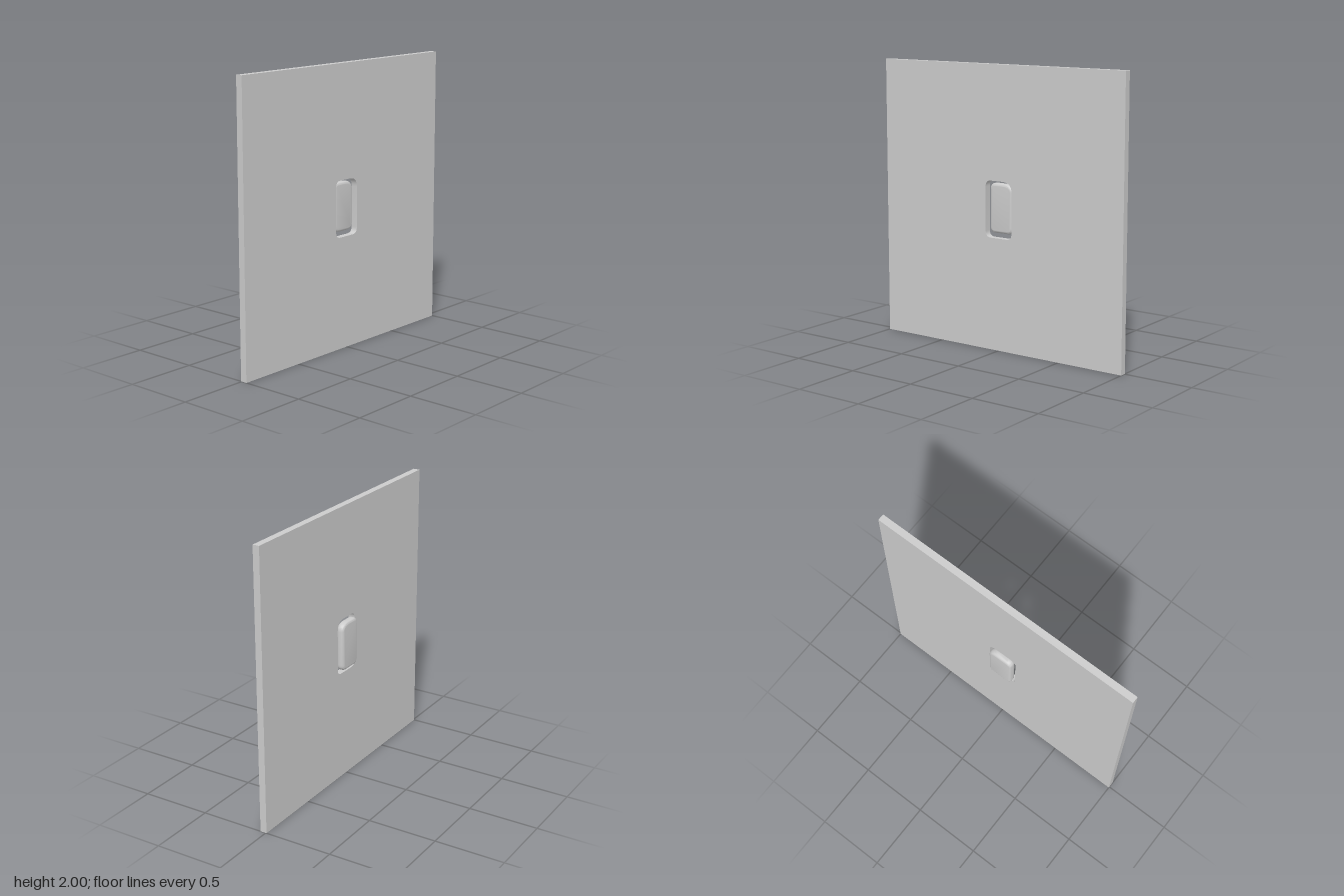
import * as THREE from 'three';
import { toCreasedNormals } from 'three/addons/utils/BufferGeometryUtils.js';

// Upright rounded rectangle whose upper corner on the +x side is softer
function outline(Type, x, y0, y1, r, rx, ry) {
  const p = new Type();
  p.moveTo(-x + r, y0);
  p.lineTo(x - r, y0);
  p.quadraticCurveTo(x, y0, x, y0 + r);
  p.lineTo(x, y1 - ry);
  p.quadraticCurveTo(x, y1, x - rx, y1);
  p.lineTo(-x + r, y1);
  p.quadraticCurveTo(-x, y1, -x, y1 - r);
  p.lineTo(-x, y0 + r);
  p.quadraticCurveTo(-x, y0, -x + r, y0);
  return p;
}

export function createModel() {
  const group = new THREE.Group();
  const material = new THREE.MeshStandardMaterial({ color: 0xcccccc });

  const add = (name, shape, options, z) => {
    const geometry = new THREE.ExtrudeGeometry(shape, options);
    const mesh = new THREE.Mesh(toCreasedNormals(geometry, 0.7), material);
    mesh.name = name;
    mesh.position.z = z;
    group.add(mesh);
  };

  // Square panel with a window through it
  const panel = new THREE.Shape();
  panel.moveTo(-1, 0);
  panel.lineTo(1, 0);
  panel.lineTo(1, 2);
  panel.lineTo(-1, 2);
  panel.closePath();
  panel.holes.push(outline(THREE.Path, 0.11, 0.8, 1.2, 0.045, 0.075, 0.07));
  add('panel', panel, { depth: 0.048, bevelEnabled: false, curveSegments: 8 }, -0.007);

  // Pillow-edged button, standing out behind the panel
  const bevel = 0.02;
  add('button', outline(THREE.Shape, 0.095, 0.83, 1.18, 0.045, 0.08, 0.06), {
    depth: 0.016, bevelThickness: bevel, bevelSize: bevel, bevelOffset: -bevel,
    bevelSegments: 6, curveSegments: 8,
  }, -0.041 + bevel);

  return group;
}
